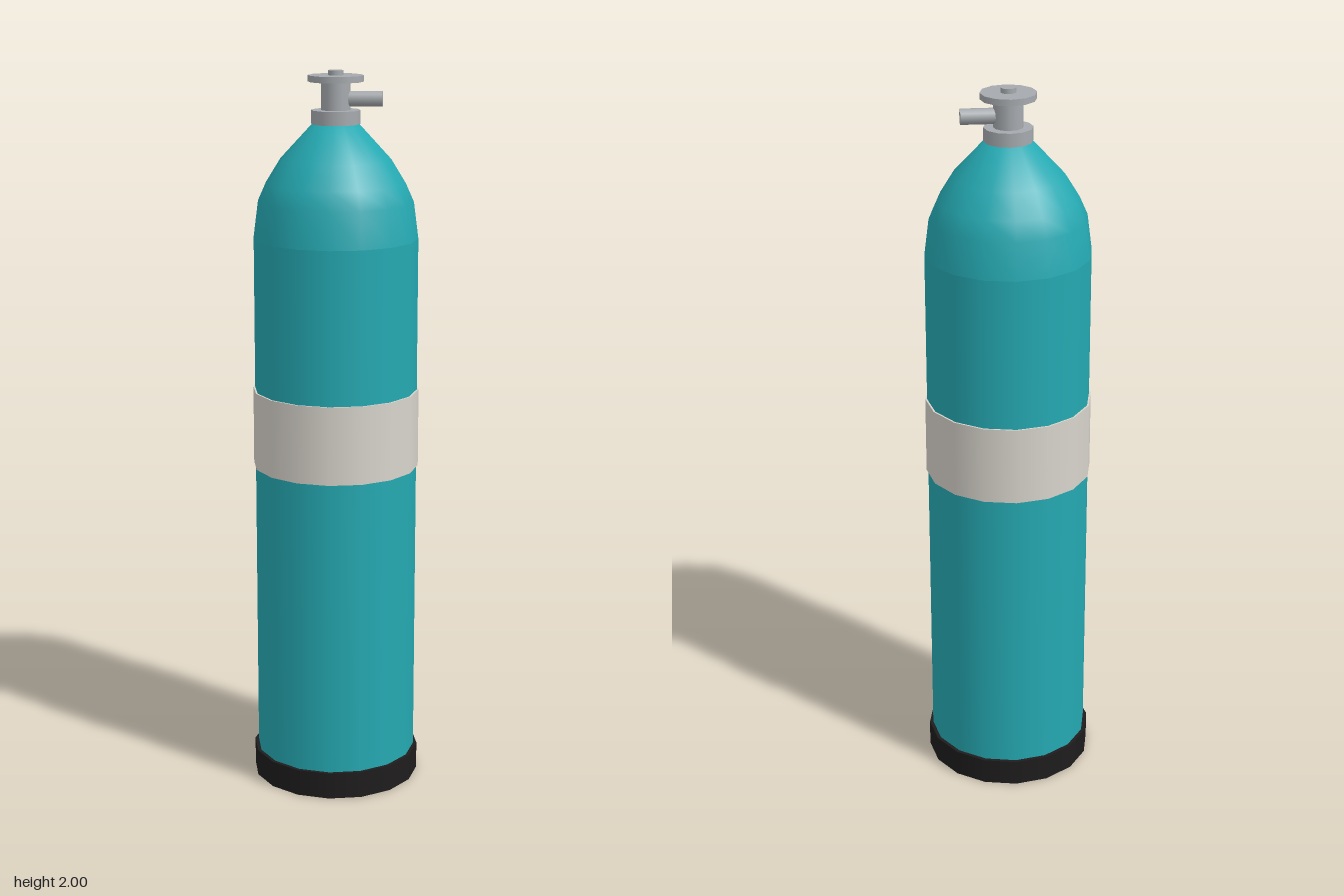
import * as THREE from 'three';

function material(name, color) {
  const m = new THREE.MeshStandardMaterial({ color });
  m.name = name;
  return m;
}

export function createModel() {
  const group = new THREE.Group();
  const teal = material('teal paint', 0x25a9b2);
  const cream = material('off-white band', 0xd8d4cc);
  const metal = material('grey metal', 0xa6aaae);
  const rubber = material('black rubber', 0x1e1c1c);

  const add = (name, geometry, mat) => {
    const mesh = new THREE.Mesh(geometry, mat);
    mesh.name = name;
    group.add(mesh);
    return mesh;
  };
  // Upright cylinder between two heights
  const drum = (name, radius, y0, y1, sides, mat) => {
    const mesh = add(name, new THREE.CylinderGeometry(radius, radius, y1 - y0, sides), mat);
    mesh.position.y = (y0 + y1) / 2;
    return mesh;
  };

  // Tank: straight wall, rounded shoulder, narrow neck
  const wall = [[0.225, 0.02], [0.225, 1.55]];
  const shoulder = [[0.225, 1.55], [0.212, 1.65], [0.19, 1.70], [0.15, 1.765], [0.062, 1.86], [0, 1.865]];
  const lathe = (points) => new THREE.LatheGeometry(points.map(([r, y]) => new THREE.Vector2(r, y)), 16);
  add('tankWall', lathe(wall), teal);
  add('tankShoulder', lathe(shoulder), teal);

  // Boot and label band
  drum('baseBoot', 0.235, 0, 0.075, 16, rubber);
  drum('labelBand', 0.23, 0.913, 1.13, 16, cream);

  // Valve: collar, stem, handwheel and its nut
  drum('valveCollar', 0.066, 1.858, 1.895, 12, metal);
  drum('valveStem', 0.04, 1.89, 1.975, 12, metal);
  drum('handwheel', 0.075, 1.97, 1.987, 12, metal);
  drum('handwheelNut', 0.021, 1.98, 2, 10, metal);

  // Side outlet towards the model's left
  const outlet = add('valveOutlet', new THREE.CylinderGeometry(0.021, 0.021, 0.11, 10), metal);
  outlet.rotation.z = -Math.PI / 2;
  outlet.position.set(0.071, 1.925, 0);

  return group;
}
